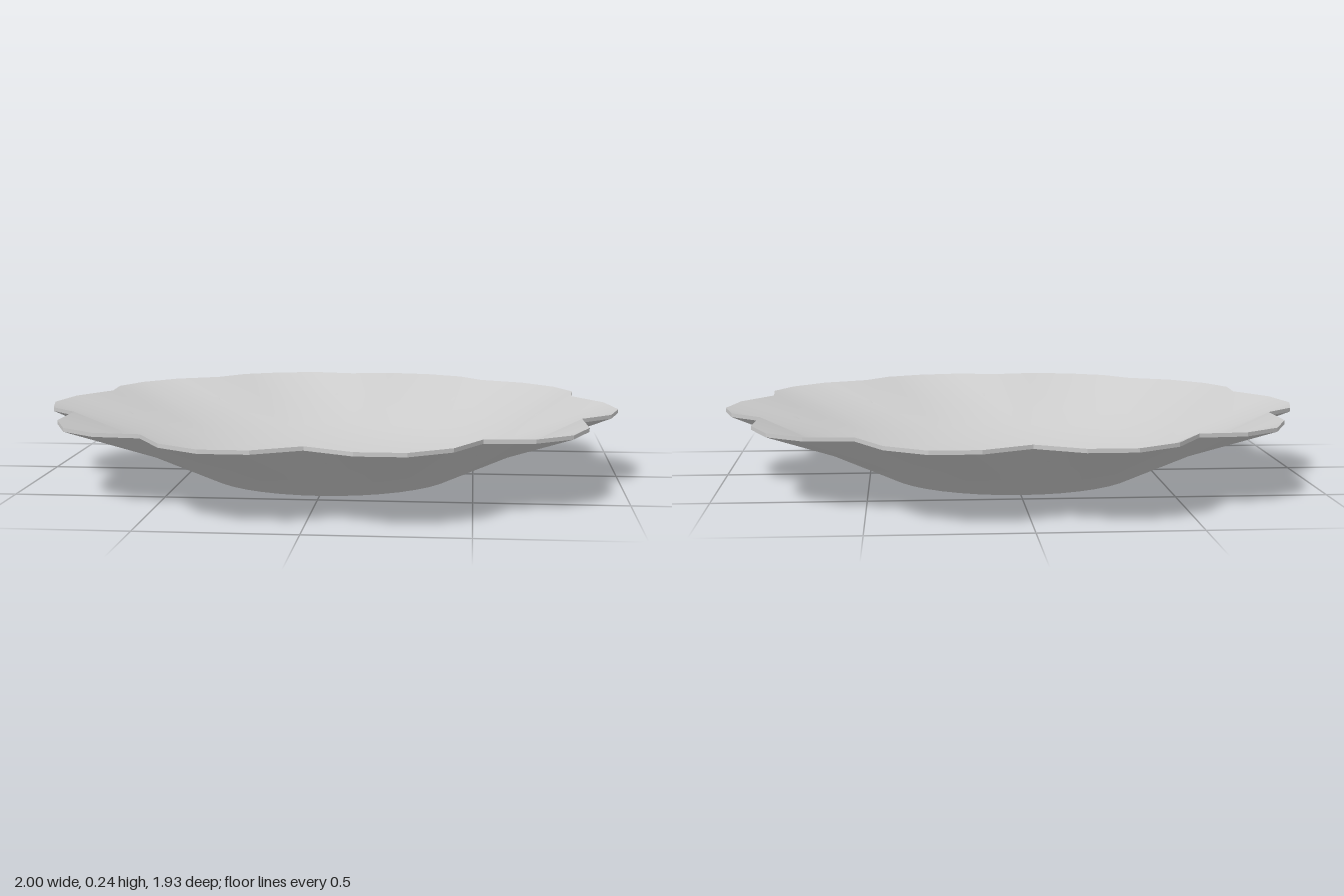
import * as THREE from 'three';
import { toCreasedNormals } from 'three/addons/utils/BufferGeometryUtils.js';

const LOBES = 10, STEPS = 4; // four rim facets per petal

export function createModel() {
  const group = new THREE.Group();
  group.name = 'scallopedDish';

  // closed section: base, flared wall, thin rim, shallow bowl inside
  const profile = [
    [0, 0], [0.435, 0], [0.69, 0.117], [1, 0.225],
    [1, 0.238], [0.69, 0.133], [0.56, 0.085], [0.435, 0.049], [0.22, 0.022], [0, 0.015],
  ].map(([r, y]) => new THREE.Vector2(r, y));
  const geometry = new THREE.LatheGeometry(profile, LOBES * STEPS);

  // pull the rim in between petals and lift the notches slightly
  const reach = [0.9, 0.975, 1, 0.975];
  const lift = [0.006, 0.002, 0, 0.002];
  const pos = geometry.attributes.position;
  for (let i = 0; i < pos.count; i++) {
    if (profile[i % profile.length].x < 1) continue;
    const k = Math.floor(i / profile.length) % STEPS;
    pos.setXYZ(i, pos.getX(i) * reach[k], pos.getY(i) + lift[k], pos.getZ(i) * reach[k]);
  }

  const dish = new THREE.Mesh(
    toCreasedNormals(geometry, 0.41),
    new THREE.MeshStandardMaterial({ color: 0xcccccc, side: THREE.DoubleSide }),
  );
  dish.name = 'dish';
  group.add(dish);
  return group;
}
